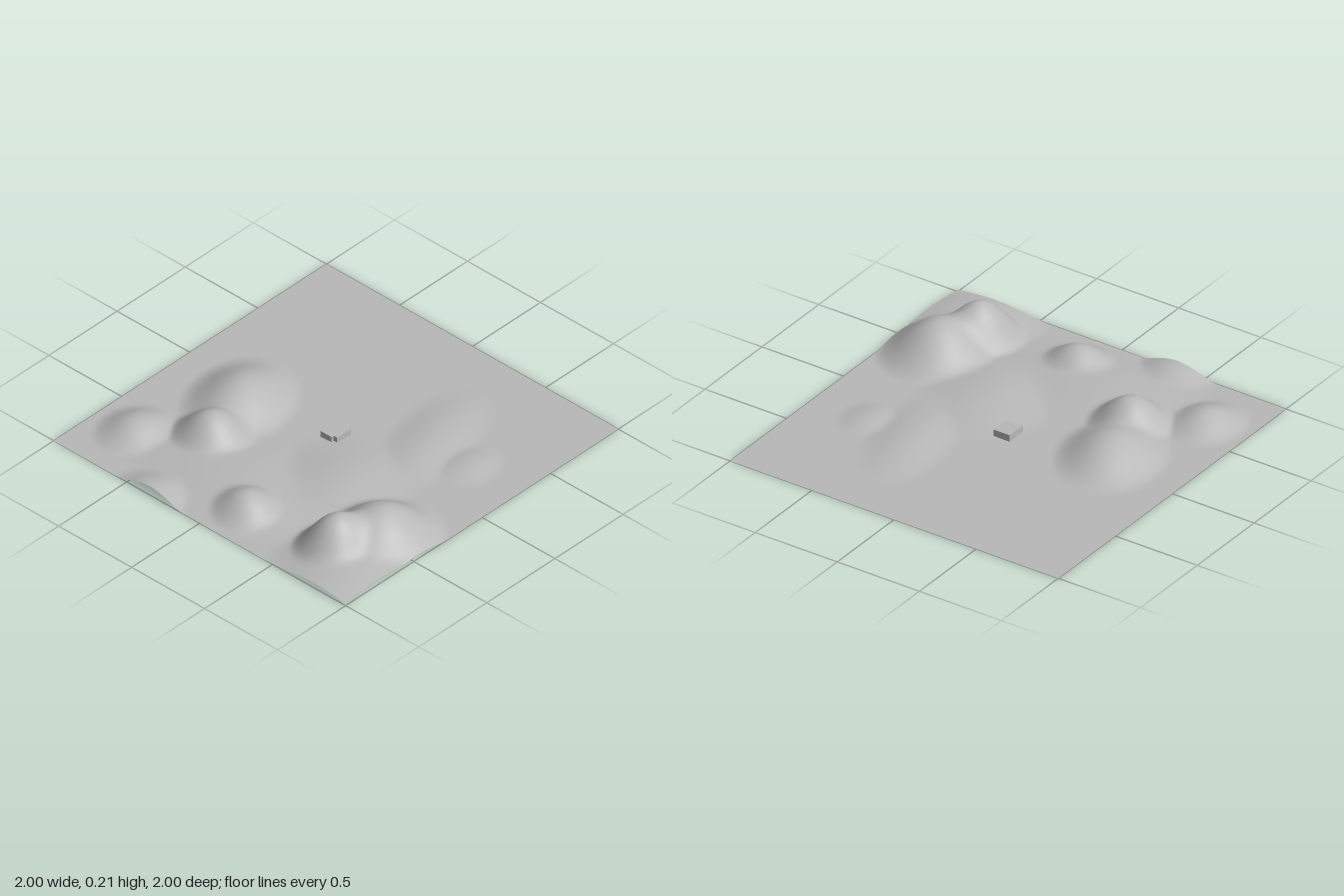
import * as THREE from 'three';

// Hills: centre x, centre z, height, radius x, radius z, turn (radians)
const HILLS = [
  [-0.69, 0.65, 0.212, 0.27, 0.25, 0],     // tallest peak
  [-0.47, 0.74, 0.183, 0.36, 0.33, 0],     // its broad shoulder
  [-0.75, 0.78, 0.06, 0.46, 0.42, 0],      // foot of the peak
  [-0.76, 0.10, 0.108, 0.22, 0.23, 0],     // west hill
  [-1.0, -0.34, 0.055, 0.26, 0.24, 0],     // west edge hill
  [-0.44, -0.44, 0.152, 0.25, 0.25, 0],    // north ridge, high end
  [-0.13, -0.54, 0.118, 0.40, 0.30, 0.35], // north ridge, long end
  [-0.66, -0.75, 0.075, 0.25, 0.22, 0],    // north-west knoll
  [-0.62, -0.1, 0.045, 0.42, 0.75, 0],     // western plateau
  [-0.3, 0.3, 0.04, 0.5, 0.4, 0.3],        // central slope
  [0.3, 0.38, 0.03, 0.5, 0.24, 0.25],      // low eastern swell
  [0.27, 0.66, 0.022, 0.2, 0.17, 0],       // small southern knoll
];

// Smooth blend of all the hills
function heightAt(x, z) {
  let sum = 0;
  for (const [cx, cz, h, rx, rz, turn] of HILLS) {
    const dx = x - cx, dz = z - cz;
    const c = Math.cos(turn), s = Math.sin(turn);
    const u = (dx * c - dz * s) / rx, v = (dx * s + dz * c) / rz;
    const q = u * u + v * v;
    if (q < 1) sum += Math.pow(h * (1 - q) ** 2, 3);
  }
  return Math.cbrt(sum);
}

export function createModel() {
  const group = new THREE.Group();
  const grey = new THREE.MeshStandardMaterial({ color: 0xb8b8b8, side: THREE.DoubleSide });
  grey.name = 'stone grey';

  // Ground sheet raised into hills
  const ground = new THREE.PlaneGeometry(2, 2, 120, 120);
  ground.rotateX(-Math.PI / 2);
  const pos = ground.attributes.position;
  for (let i = 0; i < pos.count; i++) pos.setY(i, heightAt(pos.getX(i), pos.getZ(i)));
  ground.computeVertexNormals();
  const terrain = new THREE.Mesh(ground, grey);
  terrain.name = 'terrain';
  group.add(terrain);

  // Small block with one notched corner, drawn in plan (shape y is -z)
  const plan = new THREE.Shape([
    [-0.05, -0.055], [0.05, -0.055], [0.05, 0.045],
    [-0.065, 0.045], [-0.065, -0.03], [-0.05, -0.03],
  ].map(([x, y]) => new THREE.Vector2(x, y)));
  const block = new THREE.ExtrudeGeometry(plan, { depth: 0.038, bevelEnabled: false });
  block.rotateX(-Math.PI / 2);
  const building = new THREE.Mesh(block, grey);
  building.name = 'building';
  group.add(building);

  return group;
}
